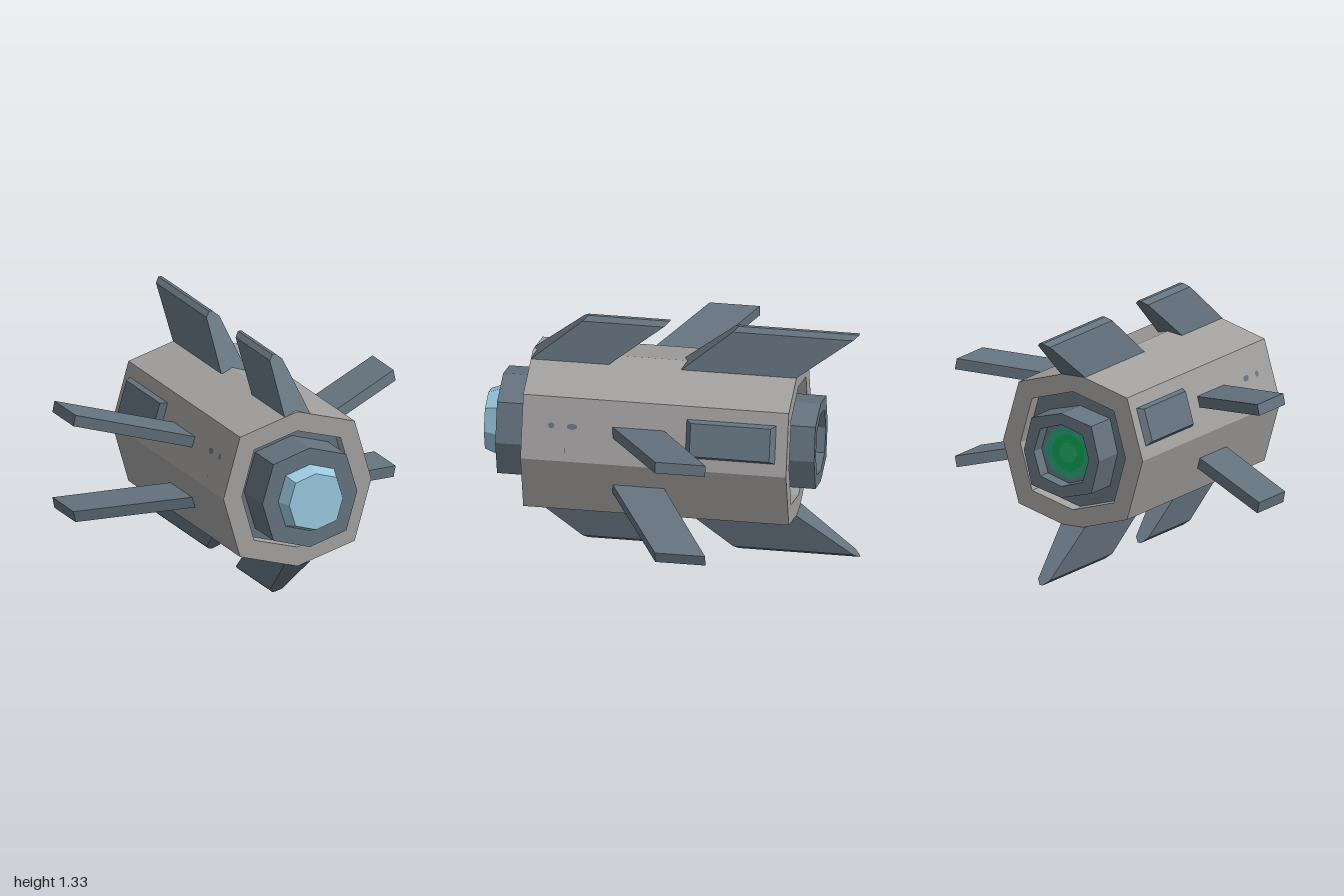
import * as THREE from 'three';

const mat = (name, color) => {
  const m = new THREE.MeshStandardMaterial({ color });
  m.name = name;
  return m;
};

// Skin consecutive loops of points (counter-clockwise around the sweep axis), flat shaded
function loft(loops, capStart = true, capEnd = true) {
  const pos = [];
  const tri = (a, b, c) => pos.push(...a, ...b, ...c);
  const n = loops[0].length;
  for (let s = 0; s < loops.length - 1; s++) {
    const a = loops[s], b = loops[s + 1];
    for (let i = 0; i < n; i++) {
      const j = (i + 1) % n;
      tri(a[i], a[j], b[j]);
      tri(a[i], b[j], b[i]);
    }
  }
  const first = loops[0], last = loops[loops.length - 1];
  for (let i = 1; i < n - 1; i++) {
    if (capStart) tri(first[0], first[i + 1], first[i]);
    if (capEnd) tri(last[0], last[i], last[i + 1]);
  }
  const g = new THREE.BufferGeometry();
  g.setAttribute('position', new THREE.Float32BufferAttribute(pos, 3));
  g.computeVertexNormals();
  return g;
}

// Octagon with axis corners at r and diagonal corners at (d, d)
const oct = (z, r, d) => [
  [r, 0, z], [d, d, z], [0, r, z], [-d, d, z],
  [-r, 0, z], [-d, -d, z], [0, -r, z], [d, -d, z],
];
const rect = (w, h, z) => [[w, h, z], [-w, h, z], [-w, -h, z], [w, -h, z]];

export function createModel() {
  const hullGrey = mat('hull grey', 0xa3a1a0);
  const slate = mat('slate blue', 0x65737f);
  const glass = mat('window blue', 0x9acae0);
  const teal = mat('engine teal', 0x2c9f7c);
  const green = mat('engine green', 0x0aa850);
  const paleGreen = mat('engine core green', 0x25ac68);

  const root = new THREE.Group();
  root.name = 'spacecraft';
  const craft = new THREE.Group();
  craft.name = 'craft';
  craft.position.y = 0.666;
  root.add(craft);

  const add = (name, geometry, material, parent = craft) => {
    const m = new THREE.Mesh(geometry, material);
    m.name = name;
    parent.add(m);
    return m;
  };

  // Hull tube with a recess at each end
  add('hull', loft([
    oct(-0.59, 0.325, 0.253), oct(-0.67, 0.325, 0.253), oct(-0.67, 0.432, 0.335),
    oct(0.76, 0.432, 0.335), oct(0.76, 0.325, 0.253), oct(0.68, 0.325, 0.253),
  ], false, false), hullGrey);
  add('recessFloors', loft([oct(-0.595, 0.326, 0.254), oct(0.685, 0.326, 0.254)]), slate);

  // Nose collar and window
  add('noseCollar', loft([oct(0.68, 0.277, 0.213), oct(0.92, 0.277, 0.213)]), slate);
  add('noseWindow', loft([oct(0.915, 0.187, 0.143), oct(1.0, 0.157, 0.12)]), glass);

  // Hollow engine nozzle with glowing rings inside
  add('engineNozzle', loft([
    oct(-0.71, 0.17, 0.13), oct(-0.79, 0.17, 0.13),
    oct(-0.79, 0.232, 0.185), oct(-0.59, 0.232, 0.185),
  ], false, false), slate);
  add('nozzleFloor', loft([oct(-0.71, 0.172, 0.132), oct(-0.6, 0.172, 0.132)]), slate);
  [['glowOuter', 0.152, teal, 8], ['glowMiddle', 0.1, green, 24], ['glowCore', 0.055, paleGreen, 24]]
    .forEach(([name, r, m, sides], i) => {
      const disk = add(name, new THREE.CircleGeometry(r, sides), m);
      disk.rotation.y = Math.PI;
      disk.position.z = -0.714 - i * 0.003;
    });

  // Swept fins in line along the top, mirrored below
  const fin = (f0, b0, f1, b1) => loft([[0.413, 0.075], [0.642, 0.037], [0.665, 0.01]].map(([y, w]) => {
    const t = (y - 0.413) / 0.252;
    const f = f0 + (f1 - f0) * t, b = b0 + (b1 - b0) * t;
    return [[w, y, f], [w, y, b], [-w, y, b], [-w, y, f]];
  }));
  const finShapes = {
    frontFin: fin(0.76, 0.34, 0.46, 0.02),
    rearFin: fin(-0.05, -0.67, -0.35, -1.0),
  };
  for (const [label, s] of [['upper', 1], ['lower', -1]]) {
    for (const [name, g] of Object.entries(finShapes)) {
      add(label + ' ' + name, g, slate).scale.y = s;
    }
  }

  // Swept wing, built along x
  const wing = loft([
    [[0.366, 0.196, 0.277], [0.377, 0.137, 0.277], [0.377, 0.137, 0], [0.366, 0.196, 0]],
    [[0.93, 0.299, -0.045], [0.942, 0.239, -0.045], [0.942, 0.239, -0.315], [0.93, 0.299, -0.315]],
  ]);
  const panel = loft([rect(0.245, 0.107, -0.005), rect(0.215, 0.09, 0.031)]);

  for (const [label, s] of [['left', 1], ['right', -1]]) {
    const side = new THREE.Group();
    side.name = label + 'Side';
    side.scale.x = s;
    craft.add(side);

    add('upperWing', wing, slate, side);
    add('lowerWing', wing, slate, side).scale.y = -1;

    // Parts laid on the sloping upper side face
    const onFace = (name, geometry, y, z) => {
      const m = add(name, geometry, slate, side);
      m.position.set(0.432 - 0.29 * y, y, z);
      m.rotation.set(0, Math.PI / 2, Math.atan2(0.097, 0.335), 'ZYX');
      return m;
    };
    onFace('sidePanel', panel, 0.166, -0.365);
    const dot = new THREE.CircleGeometry(0.016, 12).translate(0, 0, 0.003);
    onFace('portSmall', dot, 0.184, 0.602);
    onFace('portWide', dot, 0.184, 0.49).scale.x = 1.75;
    onFace('slot', new THREE.PlaneGeometry(0.005, 0.03).translate(0, 0, 0.003), 0.056, 0.525);
  }
  return root;
}
